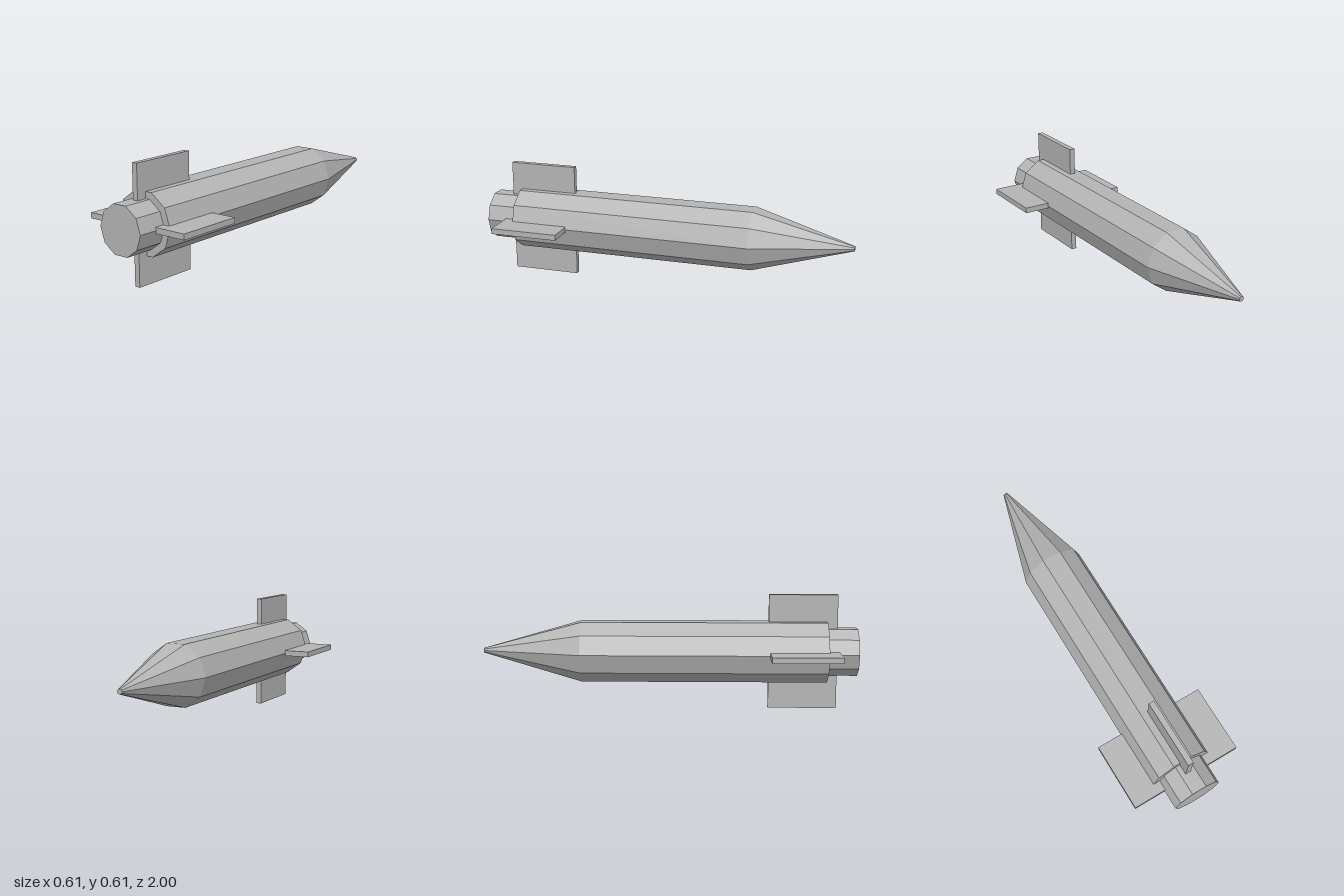
import * as THREE from 'three';

const CENTRE_Y = 0.306;

export function createModel() {
  const model = new THREE.Group();
  model.name = 'rocket';
  const grey = new THREE.MeshStandardMaterial({ color: 0xb4b4b4, flatShading: true });
  grey.name = 'grey';

  const add = (name, geometry, z) => {
    const mesh = new THREE.Mesh(geometry, grey);
    mesh.name = name;
    mesh.position.set(0, CENTRE_Y, z);
    model.add(mesh);
  };

  // Ten-sided section along z, with corners on the left and right
  const section = (name, rearRadius, tipRadius, rearZ, tipZ) => {
    const geometry = new THREE.CylinderGeometry(
      tipRadius, rearRadius, rearZ - tipZ, 10, 1, false, Math.PI / 2);
    geometry.rotateX(-Math.PI / 2);
    add(name, geometry, (rearZ + tipZ) / 2);
  };

  section('nozzle', 0.131, 0.131, 1, 0.84);
  section('body', 0.168, 0.168, 0.84, -0.47);
  section('noseCone', 0.168, 0.013, -0.47, -1);

  // Crossed fin plates running through the tail
  add('horizontalFins', new THREE.BoxGeometry(0.612, 0.03, 0.366), 0.712);
  add('verticalFins', new THREE.BoxGeometry(0.03, 0.612, 0.366), 0.712);

  return model;
}
